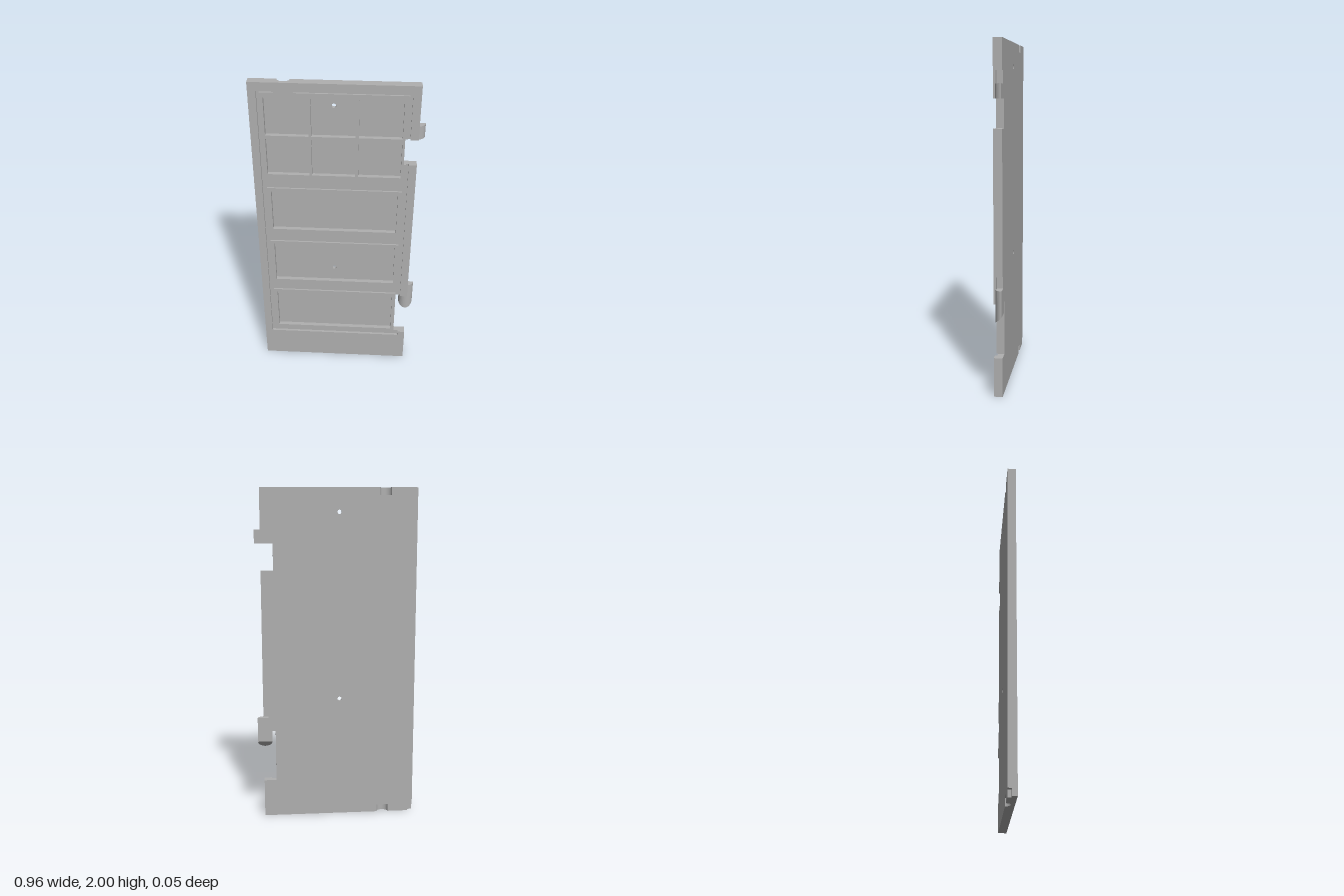
import * as THREE from 'three';

const grey = new THREE.MeshStandardMaterial({ color: 0xb0b0b0 });
grey.name = 'door grey';

// Shape from corner points, with optional holes
function poly(points, holes = []) {
  const s = new THREE.Shape(points.map(([x, y]) => new THREE.Vector2(x, y)));
  s.holes.push(...holes);
  return s;
}
const rect = (x0, x1, y0, y1) => [[x0, y0], [x1, y0], [x1, y1], [x0, y1]];
const rectHole = (...r) => new THREE.Path(rect(...r).map(([x, y]) => new THREE.Vector2(x, y)));

// Slab standing in the xy plane between two depths
function slab(name, shape, z0, z1) {
  const g = new THREE.ExtrudeGeometry(shape, { depth: z1 - z0, bevelEnabled: false, curveSegments: 10 });
  g.translate(0, 0, z0);
  const m = new THREE.Mesh(g, grey);
  m.name = name;
  return m;
}

// Plan shape (x, -z) raised from y0 to y1
function column(name, shape, y0, y1) {
  const g = new THREE.ExtrudeGeometry(shape, { depth: y1 - y0, bevelEnabled: false, curveSegments: 16 });
  g.rotateX(-Math.PI / 2);
  g.translate(0, y0, 0);
  const m = new THREE.Mesh(g, grey);
  m.name = name;
  return m;
}

// Door outline: two hinge cutouts on the left edge; the inner layers also
// have pin grooves and latch sockets
function outline(inner, corner) {
  const L = -0.48, R = 0.445, G = 0.415, C = 0.372;
  const p = corner ? [[L, 0.04], [-0.45, 0.04], [-0.45, 0]] : [[L, 0]];
  if (inner) p.push([-0.325, 0], [-0.325, 0.045], [-0.255, 0.045], [-0.255, 0]);
  p.push([R, 0], [R, 0.23], [C, 0.23], [C, 0.545]);
  if (inner) p.push([G, 0.545], [G, 0.7], [R, 0.7]);
  else p.push([R, 0.545]);
  p.push([R, 1.52], [C, 1.52], [C, 1.68]);
  if (inner) p.push([G, 1.68], [G, 1.83], [R, 1.83]);
  else p.push([R, 1.68]);
  p.push([R, 2]);
  if (inner) p.push([-0.255, 2], [-0.255, 1.955], [-0.325, 1.955], [-0.325, 2]);
  p.push([L, 2]);
  return p;
}

export function createModel() {
  const door = new THREE.Group();
  door.name = 'door';

  const panels = [[0.23, 0.56], [0.625, 0.95], [1.02, 1.335]];
  const paneX = [[-0.4, -0.16], [-0.145, 0.1], [0.118, 0.358]];
  const paneY = [[1.43, 1.66], [1.68, 1.91]];
  const paneHoles = () => paneX.flatMap(([a, b]) => paneY.map(([c, d]) => rectHole(a, b, c, d)));
  const panelHole = ([a, b]) => rectHole(-0.387, 0.35, a + 0.022, b - 0.022);

  // Back layer with two small round holes
  const pegs = [0.74, 1.86].map(y => new THREE.Path().absarc(-0.02, y, 0.013, 0, Math.PI * 2));
  door.add(slab('backLayer', poly(outline(true, true), pegs), -0.025, -0.005));

  // Middle layer, open at the panes and panels
  door.add(slab('middleLayer', poly(outline(true, false), [...paneHoles(), ...panels.map(panelHole)]), -0.005, 0.01));

  // Raised border: left stile, top and bottom rails and the cut right stile
  const border = [
    [-0.48, 0], [0.445, 0], [0.445, 0.23], [0.4, 0.23], [0.4, 0.2], [-0.435, 0.2],
    [-0.435, 1.95], [0.4, 1.95], [0.4, 1.68], [0.445, 1.68], [0.445, 2], [-0.48, 2],
  ];
  door.add(slab('border', poly(border), 0.01, 0.025));
  door.add(slab('hingeStile', poly(rect(0.4, 0.445, 0.545, 1.52)), 0.01, 0.025));
  door.add(slab('topTab', poly(rect(-0.34, -0.24, 1.938, 1.952)), 0.01, 0.023));

  // Window grid and panel mouldings
  const windowEdge = [
    [-0.42, 1.4], [0.385, 1.4], [0.385, 1.52], [0.372, 1.52],
    [0.372, 1.68], [0.385, 1.68], [0.385, 1.94], [-0.42, 1.94],
  ];
  door.add(slab('windowGrid', poly(windowEdge, paneHoles()), 0.01, 0.02));
  panels.forEach(p => door.add(
    slab('panelMoulding', poly(rect(-0.41, 0.372, ...p), [panelHole(p)]), 0.01, 0.02)));

  // Half-round latch sockets at the back of the top and bottom edges
  const socket = new THREE.Shape();
  socket.moveTo(-0.325, 0.025);
  socket.absellipse(-0.29, 0.025, 0.035, 0.03, Math.PI, Math.PI * 2, false);
  socket.lineTo(-0.255, -0.01);
  socket.lineTo(-0.325, -0.01);
  door.add(column('topSocket', socket, 1.955, 2));
  door.add(column('bottomSocket', socket, 0, 0.045));

  // Half-round hinge hooks; the lower one ends in a slanted cut
  const hook = new THREE.Shape();
  hook.absellipse(0.436, 0.025, 0.044, 0.04, Math.PI, Math.PI * 2, false);
  door.add(column('upperHook', hook, 1.68, 1.76));
  const lower = column('lowerHook', hook, 0.44, 0.63);
  const pos = lower.geometry.attributes.position;
  for (let i = 0; i < pos.count; i++) {
    if (pos.getY(i) < 0.5) pos.setY(i, 0.44 + (0.015 - pos.getZ(i)));
  }
  lower.geometry.computeVertexNormals();
  door.add(lower);

  return door;
}
